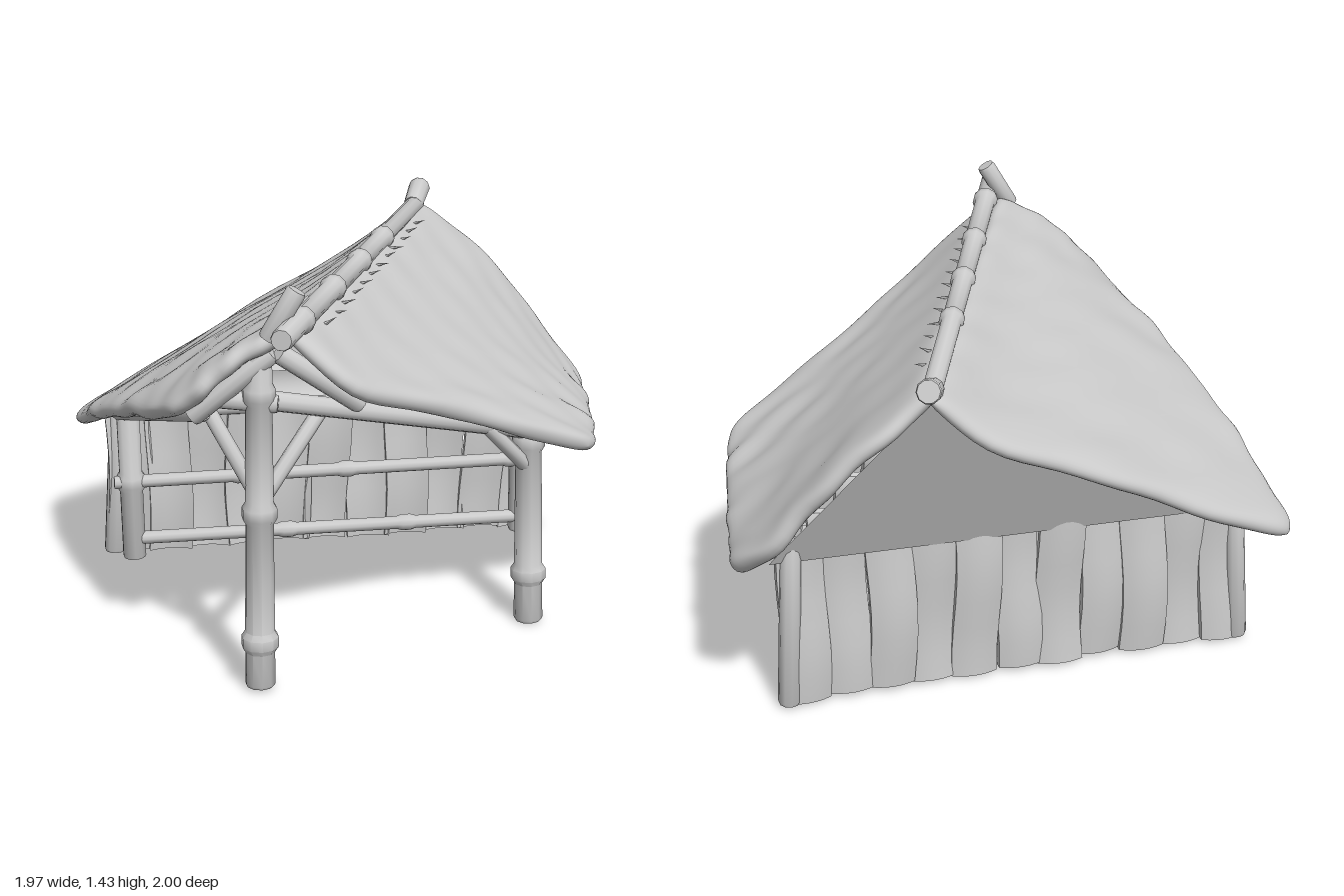
import * as THREE from 'three';
import { mergeVertices, toCreasedNormals } from 'three/addons/utils/BufferGeometryUtils.js';

const V = (a) => new THREE.Vector3(...a);
const timber = new THREE.MeshStandardMaterial({ color: 0xcccccc });
timber.name = 'paleTimber';

let seed = 7;
const rnd = () => (seed = (seed * 16807) % 2147483647) / 2147483647 - 0.5;

export function createModel() {
  const root = new THREE.Group();
  root.name = 'openHut';

  const add = (name, geo) => {
    const m = new THREE.Mesh(geo, timber);
    m.name = name;
    root.add(m);
    return m;
  };

  // Log from a to b; knots are swollen rings at fractions of its length
  const pole = (name, a, b, r, knots = [], rEnd = r) => {
    const A = a.isVector3 ? a : V(a), B = b.isVector3 ? b : V(b);
    const L = A.distanceTo(B);
    const pts = [[0, 0], [r * 0.9, 0], [r, 0.01]];
    for (const k of knots) {
      const y = k * L, q = r + (rEnd - r) * k;
      pts.push([q, y - 0.04], [q * 1.25, y - 0.02], [q * 1.25, y + 0.015], [q, y + 0.035]);
    }
    pts.push([rEnd, L - 0.01], [rEnd * 0.9, L], [0, L]);
    const geo = new THREE.LatheGeometry(pts.map((p) => new THREE.Vector2(...p)), 10);
    const m = add(name, toCreasedNormals(geo, 0.8));
    m.position.copy(A);
    m.quaternion.setFromUnitVectors(new THREE.Vector3(0, 1, 0), B.clone().sub(A).normalize());
  };

  // Roof slope lofted between a front and a back verge curve (u front to back, v ridge to eave)
  const slope = (front, back, side, bow) => {
    const f = new THREE.CatmullRomCurve3(front.map(V));
    const g = new THREE.CatmullRomCurve3(back.map(V));
    return (u, v) => {
      const uu = 0.5 + (u - 0.5) * (1 - 0.07 * v ** 14);
      const vv = v * (1 - 0.03 * (2 * u - 1) ** 16);
      const p = f.getPointAt(vv).lerp(g.getPointAt(vv), uu);
      const b = bow * Math.sin(Math.PI * u) * v;
      return p.add(new THREE.Vector3(side * b, b * 0.6, 0));
    };
  };

  const normalAt = (S, u, v, side) => {
    const e = 0.01, u0 = Math.min(u, 1 - e), v0 = Math.min(v, 1 - e);
    const p = S(u0, v0);
    return S(u0, v0 + e).sub(p).cross(S(u0 + e, v0).sub(p)).multiplyScalar(side).normalize();
  };

  // Thick, softly rumpled thatch sheet with rounded edges
  const thatch = (name, S, side) => {
    const N = 56, M = 30, pos = [], idx = [];
    const ease = (t) => 0.5 - 0.5 * Math.cos(Math.PI * t);
    const edge = (t, k) => Math.sqrt(Math.max(0, 1 - (2 * t - 1) ** k));
    for (const face of [1, -1]) {
      const base = pos.length / 3;
      for (let i = 0; i <= N; i++) for (let j = 0; j <= M; j++) {
        const u = ease(i / N), v = ease(j / M);
        const rumple = 0.004 * Math.sin(u * 41 + v * 9) * Math.sin(v * 13 + u * 6) + 0.004 * Math.sin(u * 19 - v * 11) * v;
        const h = face * 0.035 * edge(u, 36) * edge(v, 20) + rumple;
        const p = S(u, v).addScaledVector(normalAt(S, u, v, side), h);
        p.z += 0.006 * Math.sin(v * 23) * (2 * u - 1);
        p.y += 0.004 * Math.sin(u * 29) * v;
        pos.push(p.x, p.y, p.z);
        if (i < N && j < M) {
          const a = base + i * (M + 1) + j, b = a + 1, c = a + M + 1, d = c + 1;
          if (face * side > 0) idx.push(a, b, c, b, d, c);
          else idx.push(a, c, b, b, c, d);
        }
      }
    }
    let geo = new THREE.BufferGeometry();
    geo.setAttribute('position', new THREE.Float32BufferAttribute(pos, 3));
    geo.setIndex(idx);
    geo = mergeVertices(geo, 1e-4);
    geo.computeVertexNormals();
    add(name, geo);
  };

  const leftSlope = slope(
    [[-0.38, 1.27, 0.82], [-0.17, 1.08, 0.85], [0.2, 0.91, 0.63], [0.5, 0.78, 0.49], [0.79, 0.64, 0.37]],
    [[0.4, 1.25, -0.92], [0.62, 1.07, -0.89], [0.79, 0.86, -0.81], [0.9, 0.7, -0.75], [0.99, 0.56, -0.62]], 1, 0.01);
  const rightSlope = slope(
    [[-0.38, 1.28, 0.82], [-0.53, 1.2, 0.82], [-0.65, 1.1, 0.8], [-0.73, 1.0, 0.77]],
    [[0.4, 1.25, -0.92], [0.2, 1.08, -0.95], [-0.2, 0.88, -0.9], [-0.6, 0.67, -0.84], [-1.0, 0.46, -0.79]], -1, 0.05);
  thatch('roofSlopeLeft', leftSlope, 1);
  thatch('roofSlopeRight', rightSlope, -1);

  // Ridge pole with bindings and an upturned back end
  pole('ridgePole', [-0.42, 1.305, 0.99], [0.39, 1.26, -0.9], 0.038, [0.12, 0.33, 0.52, 0.7], 0.034);
  pole('ridgeTip', [0.37, 1.265, -0.86], [0.42, 1.31, -0.98], 0.038, [], 0.042);

  // Loose thatch tufts beside the ridge
  for (let i = 0; i < 12; i++) {
    const u = 0.12 + i * 0.065;
    const m = add('thatchTuft', new THREE.ConeGeometry(0.012, 0.08, 5));
    m.position.copy(leftSlope(u, 0.06)).add(V([0.01, 0.035, 0]));
    m.rotation.set(rnd() * 0.8, 0, -1.3 + rnd() * 0.5);
  }

  // Gable poles below the front verges, one crossing above the ridge
  pole('gablePole', [-0.68, 0.98, 0.72], [-0.42, 1.2, 0.77], 0.036);
  pole('gablePole', [-0.4, 1.2, 0.78], [-0.12, 0.99, 0.72], 0.034);
  pole('gablePoleTip', [-0.44, 1.26, 0.82], [-0.345, 1.42, 0.83], 0.034);

  // Free-standing posts
  pole('frontPost', [-0.47, 0.02, 0.75], [-0.46, 1.2, 0.75], 0.052, [0.14, 0.53, 0.88], 0.044);
  pole('sidePost', [0.56, 0.01, 0.35], [0.55, 0.74, 0.33], 0.052, [0.25, 0.93], 0.046);

  // Beams carrying the roof
  pole('frontBeam', [-0.5, 1.04, 0.74], [0.6, 0.72, 0.33], 0.034);
  pole('tieBeam', [-0.66, 1.04, 0.7], [-0.4, 1.02, 0.76], 0.032);
  pole('eaveBeam', [-0.64, 0.98, 0.68], [-0.83, 0.6, -0.5], 0.034);
  pole('eaveBeam', [0.55, 0.73, 0.34], [0.76, 0.66, -0.52], 0.03);

  // Slanting braces
  for (const [a, b] of [
    [[-0.46, 0.68, 0.75], [-0.22, 0.96, 0.6]],
    [[-0.46, 0.68, 0.75], [-0.63, 1.0, 0.64]],
    [[0.56, 0.58, 0.34], [0.38, 0.78, 0.42]],
  ]) pole('brace', a, b, 0.027);

  // Rafters and purlins under the thatch
  const under = (S, side, u, v) => S(u, v).addScaledVector(normalAt(S, u, v, side), -0.045);
  for (const u of [0.3, 0.6]) {
    for (const [S, side] of [[leftSlope, 1], [rightSlope, -1]]) {
      pole('rafter', under(S, side, u, 0.06), under(S, side, u, 0.5), 0.02);
      pole('rafter', under(S, side, u, 0.5), under(S, side, u, 0.9), 0.02);
    }
  }
  for (const v of [0.35, 0.65]) pole('purlin', under(rightSlope, -1, 0.08, v), under(rightSlope, -1, 0.85, v), 0.02);

  // Board with a curved face and wavy edges
  const plank = (name, w, h, x, y, z) => {
    const geo = new THREE.BoxGeometry(w, h, 0.025, 6, 6, 1);
    const p = geo.attributes.position, phase = rnd() * 6;
    for (let k = 0; k < p.count; k++) {
      const px = p.getX(k), py = p.getY(k);
      p.setZ(k, p.getZ(k) - 0.02 * (1 - (2 * px / w) ** 2) + 0.01 * Math.sin(py * 9 + phase));
      p.setX(k, px + 0.01 * Math.sin(py * 7 + phase));
    }
    const m = add(name, toCreasedNormals(geo, 0.7));
    m.position.set(x, y, z);
    return m;
  };

  // Back wall of uneven upright planks
  for (let i = 0; i < 11; i++) {
    const m = plank('wallPlank', 0.165, 0.57 + rnd() * 0.03, -0.8 + i * 0.154, 0.31, -0.54 + (i % 2) * 0.014);
    m.rotation.set(0, rnd() * 0.16, rnd() * 0.06);
  }

  // Lapped horizontal boards filling the gable inside
  for (const [x0, x1, y] of [[-0.7, 0.72, 0.66], [-0.5, 0.62, 0.78], [-0.3, 0.52, 0.9], [-0.08, 0.42, 1.01]]) {
    const m = plank('gablePlank', 0.13, x1 - x0, (x0 + x1) / 2, y, -0.53);
    m.rotation.set(-0.2, 0, Math.PI / 2);
    m.rotation.order = 'XYZ';
  }
  pole('gableStud', [0.02, 0.58, -0.5], [0.03, 0.9, -0.5], 0.024);

  // Wall frame: corner posts, rails and the head beam
  pole('cornerPost', [-0.79, 0.02, -0.47], [-0.8, 0.64, -0.48], 0.045, [0.5]);
  pole('cornerPost', [0.72, 0.03, -0.47], [0.72, 0.64, -0.48], 0.038, [0.5]);
  pole('outerPost', [-0.86, 0.02, -0.55], [-0.83, 0.58, -0.55], 0.04, [], 0.034);
  pole('outerPost', [0.8, 0.02, -0.55], [0.78, 0.64, -0.56], 0.04, [], 0.036);
  pole('rail', [-0.86, 0.33, -0.46], [0.77, 0.33, -0.46], 0.025, [0.3, 0.55, 0.95]);
  pole('rail', [-0.82, 0.1, -0.46], [0.74, 0.09, -0.46], 0.025, [0.4, 0.7]);
  pole('headBeam', [-0.84, 0.59, -0.51], [0.8, 0.59, -0.51], 0.028);

  // Gable board leaning out from the wall head to the ridge, with both faces
  const board = new THREE.BufferGeometry();
  const a = [-0.86, 0.54, -0.57], b = [0.86, 0.57, -0.57], c = [0.38, 1.22, -0.86];
  const inner = (q) => [q[0], q[1], q[2] + 0.02];
  board.setAttribute('position', new THREE.Float32BufferAttribute(
    [a, c, b, inner(a), inner(b), inner(c)].flat(), 3));
  board.computeVertexNormals();
  add('gableBoard', board);

  return root;
}
